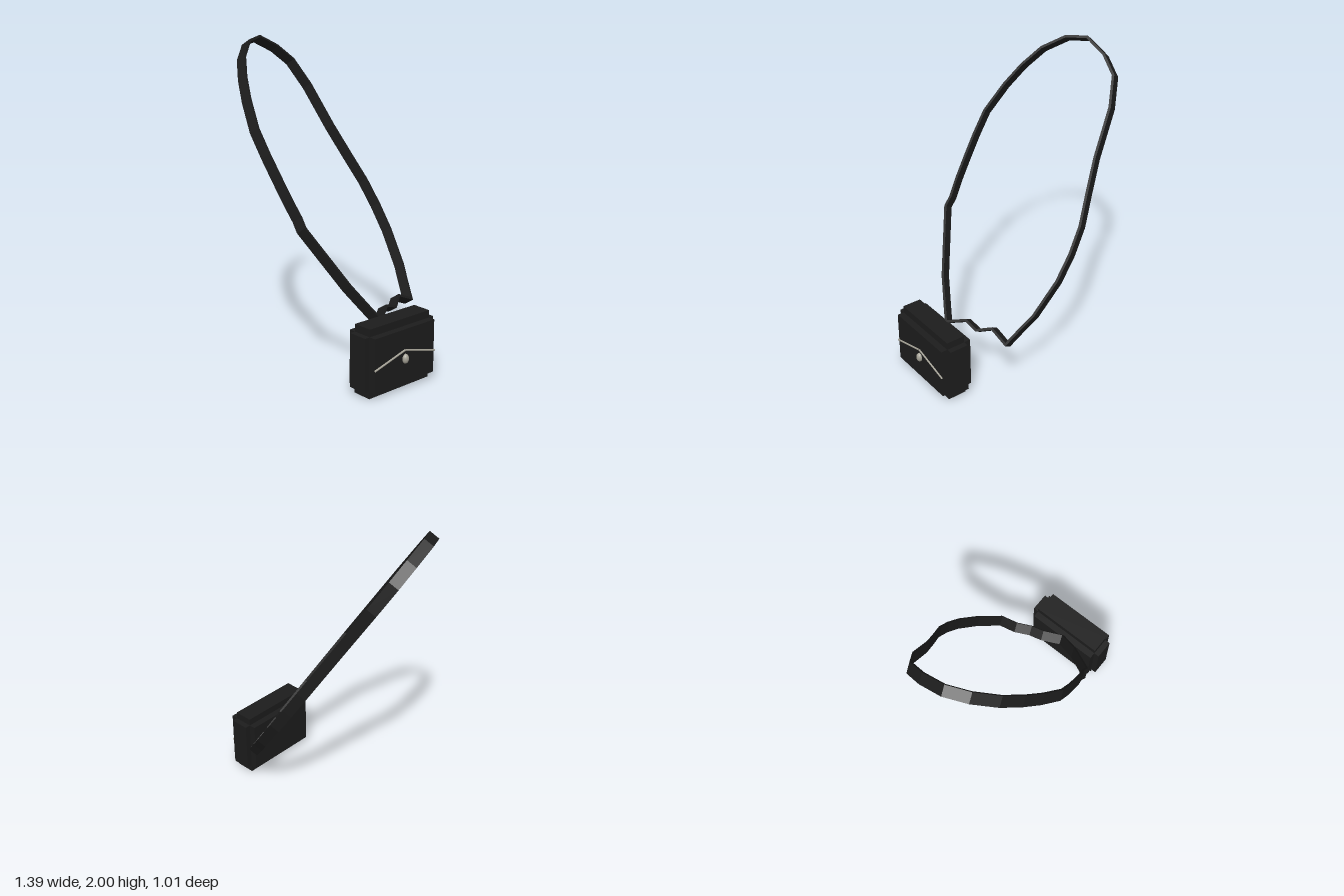
import * as THREE from 'three';

export function createModel() {
  const leather = new THREE.MeshStandardMaterial({ color: 0x1c1c1c });
  leather.name = 'black leather';
  const silver = new THREE.MeshStandardMaterial({ color: 0xa5a296 });
  silver.name = 'silver metal';

  const model = new THREE.Group();
  model.name = 'shoulderBag';
  const add = (parent, name, geometry, material, x = 0, y = 0, z = 0) => {
    const mesh = new THREE.Mesh(geometry, material);
    mesh.name = name;
    mesh.position.set(x, y, z);
    parent.add(mesh);
    return mesh;
  };

  // Pouch: three crossing blocks give the stepped edges
  const pouch = new THREE.Group();
  pouch.name = 'pouch';
  pouch.position.set(0.495, 0.215, 0.215);
  pouch.rotation.y = 1.216;
  model.add(pouch);
  const blocks = {
    frontAndBackPanels: [0.49, 0.335, 0.212],
    sidePanels: [0.564, 0.335, 0.124],
    topAndBottomPanels: [0.49, 0.428, 0.124],
  };
  for (const [name, size] of Object.entries(blocks)) {
    add(pouch, name, new THREE.BoxGeometry(...size), leather);
  }

  // Flap trim: two thin rods meeting in a peak, with an oval clasp below
  for (const side of [-1, 1]) {
    const path = new THREE.LineCurve3(
      new THREE.Vector3(side * 0.25, -0.028, 0.109),
      new THREE.Vector3(0, 0.04, 0.109));
    add(pouch, side < 0 ? 'rightFlapTrim' : 'leftFlapTrim',
      new THREE.TubeGeometry(path, 1, 0.006, 6), silver);
  }
  const clasp = add(pouch, 'clasp', new THREE.SphereGeometry(1, 16, 12), silver, 0, -0.015, 0.11);
  clasp.scale.set(0.022, 0.03, 0.02);

  // Strap: a flat band following a loop in a sloping plane, given as [z, y]
  const loop = [
    [-0.26, 0.365], [-0.14, 0.417], [-0.04, 0.38], [0.05, 0.41], [0.18, 0.367],
    [0.22, 0.44], [0.3, 0.59], [0.43, 0.945], [0.415, 1.0], [0.412, 1.1],
    [0.4, 1.22], [0.385, 1.35], [0.36, 1.49], [0.28, 1.65], [0.2, 1.77],
    [0.1, 1.88], [-0.04, 1.962], [-0.18, 1.98], [-0.32, 1.912], [-0.42, 1.82],
    [-0.46, 1.66], [-0.462, 1.4], [-0.48, 1.22], [-0.5, 1.05], [-0.49, 0.9],
    [-0.46, 0.75], [-0.38, 0.55], [-0.32, 0.46],
  ];
  const topY = 1.9825, rise = 0.838, run = 0.545, width = 0.066, thickness = 0.016;
  const points = loop.map(([z, y]) => new THREE.Vector2(z, (y - topY) / rise));
  const offset = (distance) => points.map((p, i) => {
    const before = points[(i + points.length - 1) % points.length];
    const after = points[(i + 1) % points.length];
    const d1 = p.clone().sub(before).normalize();
    const d2 = after.clone().sub(p).normalize();
    const mid = d1.clone().add(d2).normalize();
    const miter = Math.min(1 / mid.dot(d1), 1.5);
    return new THREE.Vector2(p.x + mid.y * distance * miter, p.y - mid.x * distance * miter);
  });
  const band = new THREE.Shape(offset(thickness / 2));
  band.holes.push(new THREE.Path(offset(-thickness / 2)));
  const strap = new THREE.ExtrudeGeometry(band, { depth: width, bevelEnabled: false });
  strap.translate(0, 0, -width / 2);
  strap.applyMatrix4(new THREE.Matrix4().makeBasis(
    new THREE.Vector3(0, 0, 1),
    new THREE.Vector3(-run, rise, 0),
    new THREE.Vector3(-rise, -run, 0)));
  add(model, 'strap', strap, leather, -0.67, topY, 0);

  return model;
}
